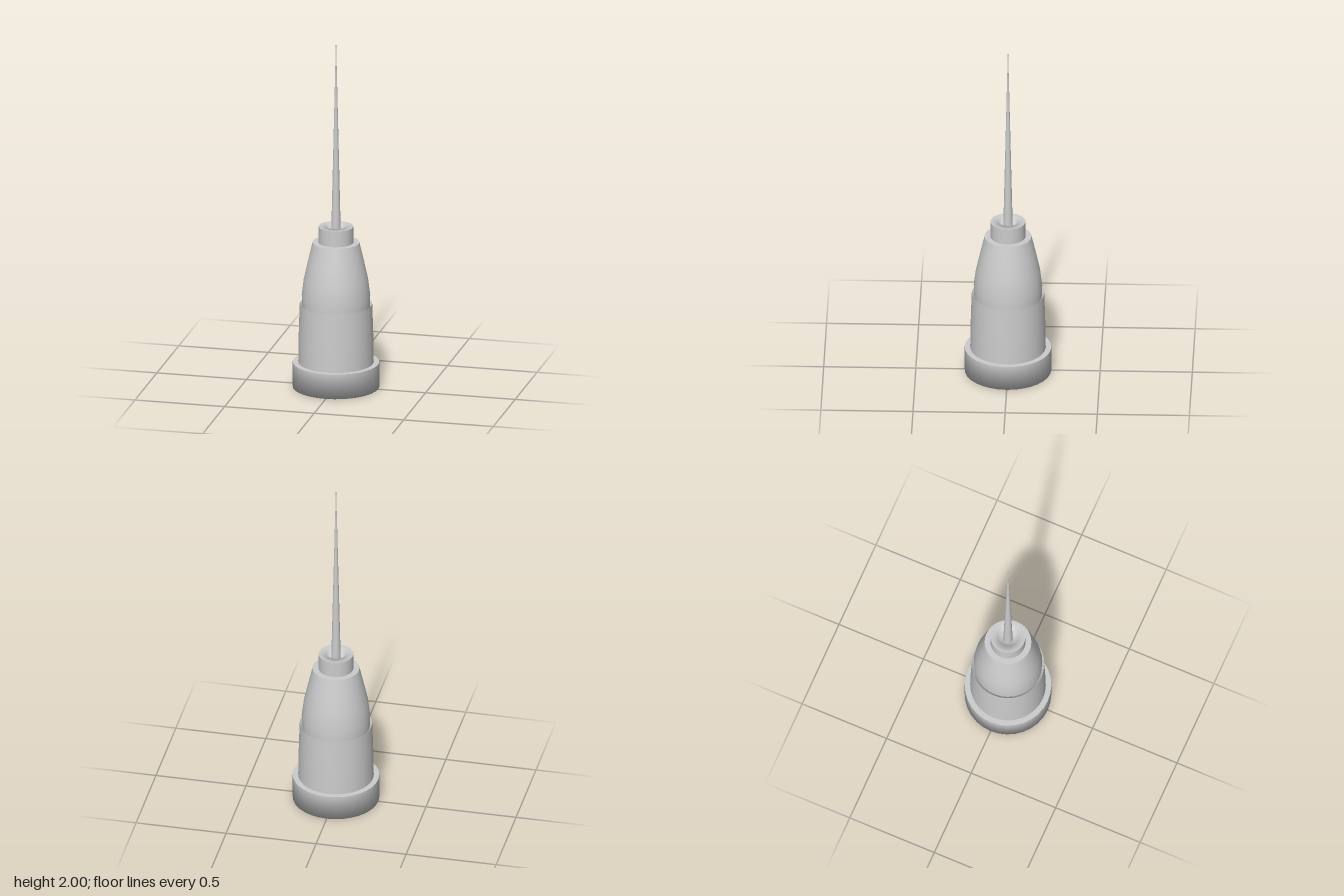
import * as THREE from 'three';

const SIDES = 32;
const material = new THREE.MeshStandardMaterial({ color: 0xcccccc, side: THREE.DoubleSide });

// Turns a profile of [radius, height] points, listed bottom to top.
// Repeating a point gives a sharp edge there.
function turned(name, profile) {
  const points = profile.map(([r, y]) => new THREE.Vector2(r, y));
  const mesh = new THREE.Mesh(new THREE.LatheGeometry(points, SIDES), material);
  mesh.name = name;
  return mesh;
}

export function createModel() {
  const group = new THREE.Group();
  group.name = 'needleHub';

  // Wide foot with a closed underside
  group.add(turned('baseFlange', [
    [0, 0], [0.235, 0], [0.235, 0.14], [0.235, 0.14], [0.2, 0.14],
  ]));

  // Lower sleeve, ending in a thin rim with a shallow groove inside it
  group.add(turned('lowerSleeve', [
    [0.205, 0.14], [0.203, 0.28], [0.197, 0.47], [0.197, 0.47], [0.184, 0.455],
  ]));

  // Tapering shoulder rising out of the sleeve
  group.add(turned('shoulder', [
    [0.184, 0.455], [0.186, 0.52], [0.175, 0.61], [0.153, 0.71],
    [0.127, 0.82], [0.127, 0.82], [0.09, 0.82],
  ]));

  // Collar with a recessed bore
  group.add(turned('collar', [
    [0.095, 0.82], [0.095, 0.91], [0.095, 0.91], [0.052, 0.91],
    [0.046, 0.87], [0, 0.87],
  ]));

  // Long needle tapering to a point
  group.add(turned('needle', [[0.026, 0.87], [0.013, 1.43], [0, 2]]));

  return group;
}
